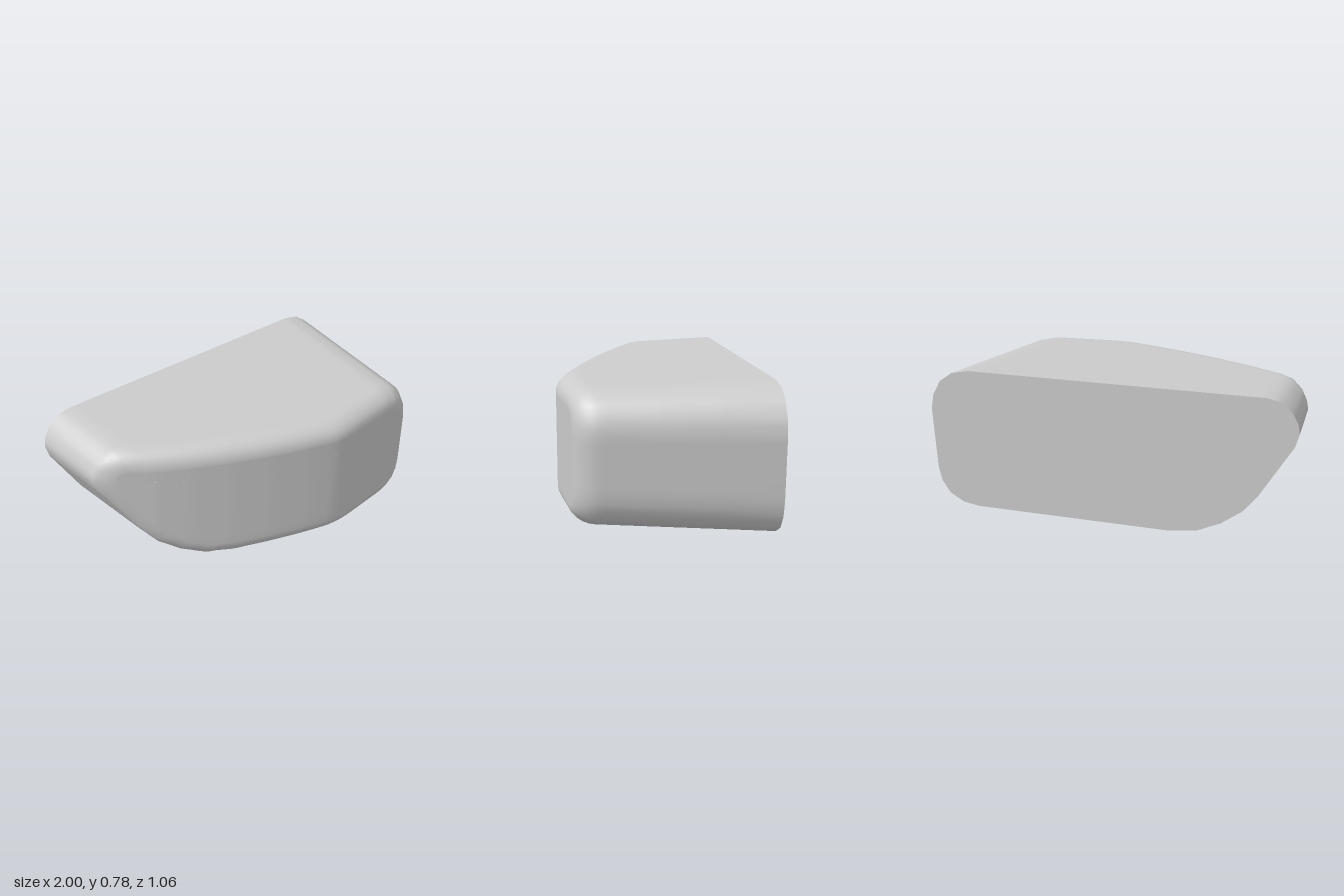
import * as THREE from 'three';

const BACK = -0.53;

// Outline at the back, counter-clockwise seen from the front
const OUTLINE = [
  [-0.33, 0], [0.75, 0], [0.84, 0.015], [0.92, 0.06], [0.965, 0.13], [0.983, 0.21],
  [1, 0.55], [0.985, 0.63], [0.94, 0.71], [0.87, 0.76], [0.77, 0.78],
  [-0.83, 0.78], [-0.9, 0.765], [-0.96, 0.715], [-0.99, 0.66], [-1, 0.61], [-0.98, 0.54],
  [-0.81, 0.26], [-0.73, 0.16], [-0.62, 0.08], [-0.49, 0.02],
];

// Depth of the swept front face across the width: [x, z]
const FACE = [
  [-1, -0.09], [-0.9, 0], [-0.75, 0.11], [-0.6, 0.2], [-0.4, 0.305], [-0.2, 0.395],
  [0, 0.472], [0.15, 0.52], [0.22, 0.53], [0.3, 0.527], [1, 0.458],
];

function faceZ(x) {
  let i = 1;
  while (i < FACE.length - 1 && x > FACE[i][0]) i++;
  const [x0, z0] = FACE[i - 1], [x1, z1] = FACE[i];
  return z0 + (z1 - z0) * (x - x0) / (x1 - x0);
}

// The body narrows towards the front
function taper(x, y, z) {
  const t = (z - BACK) / 0.93, u = (x + 1) / 2;
  return [x + t * (0.035 * (1 - u) - 0.17 * u), 0.39 + (y - 0.39) * (1 - 0.09 * t), z];
}

// Outline split into short steps, each with its outward normal
function outlinePoints() {
  const pts = [];
  OUTLINE.forEach(([x, y], i) => {
    const [x1, y1] = OUTLINE[(i + 1) % OUTLINE.length];
    const steps = Math.ceil(Math.hypot(x1 - x, y1 - y) / 0.05);
    for (let k = 0; k < steps; k++) {
      pts.push(new THREE.Vector2(x + (x1 - x) * k / steps, y + (y1 - y) * k / steps));
    }
  });
  const n = pts.length;
  return pts.map((p, i) => {
    const before = p.clone().sub(pts[(i + n - 1) % n]).normalize();
    const after = pts[(i + 1) % n].clone().sub(p).normalize();
    const dir = before.add(after).normalize();
    return { x: p.x, y: p.y, nx: dir.y, ny: -dir.x };
  });
}

// Point on the rounded rim: a = 0 at the side wall, PI / 2 on the front face
function rimPoint(p, a) {
  const inset = 0.1 * (1 + 0.35 * Math.min(p.nx, 0)) * (1 - Math.cos(a));
  const drop = 0.115 * (1 + 0.72 * Math.min(p.nx, 0)) * (1 - Math.sin(a));
  const x = p.x - p.nx * inset, y = p.y - p.ny * inset;
  let q = taper(x, y, 0.3);
  for (let k = 0; k < 6; k++) q = taper(x, y, faceZ(q[0]) - drop);
  return q;
}

function shellGeometry(outline) {
  const rings = [];
  // Side wall from the back to the rim
  for (const s of [0, 0.33, 0.67, 0.95]) {
    rings.push(outline.map((p) => {
      const z = BACK + (rimPoint(p, 0)[2] - BACK) * s;
      return taper(p.x, p.y, z);
    }));
  }
  // Rounded rim
  for (let k = 0; k <= 6; k++) rings.push(outline.map((p) => rimPoint(p, k / 6 * Math.PI / 2)));
  // Front face closes onto a level line between its two ends
  const rim = rings[rings.length - 1];
  const spine = (x) => 0.57 - 0.03 * x;
  for (const s of [0.1, 1]) {
    rings.push(rim.map(([x, y, z]) => [x, y + (spine(x) - y) * s, z]));
  }

  const n = outline.length, index = [];
  for (let r = 0; r < rings.length - 1; r++) {
    for (let i = 0; i < n; i++) {
      const j = (i + 1) % n;
      const a = r * n + i, b = r * n + j, c = a + n, d = b + n;
      index.push(a, b, d, a, d, c);
    }
  }
  const geometry = new THREE.BufferGeometry();
  geometry.setAttribute('position', new THREE.Float32BufferAttribute(rings.flat(2), 3));
  geometry.setIndex(index);
  geometry.computeVertexNormals();
  return geometry;
}

export function createModel() {
  const group = new THREE.Group();
  group.name = 'roundedHousing';
  const material = new THREE.MeshStandardMaterial({ color: 0xcccccc });
  const outline = outlinePoints();

  const shell = new THREE.Mesh(shellGeometry(outline), material);
  shell.name = 'shell';
  group.add(shell);

  // Flat back, turned to face -z
  const shape = new THREE.Shape(outline.map((p) => new THREE.Vector2(-p.x, p.y)));
  const backPlate = new THREE.Mesh(new THREE.ShapeGeometry(shape).rotateY(Math.PI), material);
  backPlate.name = 'backPlate';
  backPlate.position.z = BACK;
  group.add(backPlate);

  return group;
}
